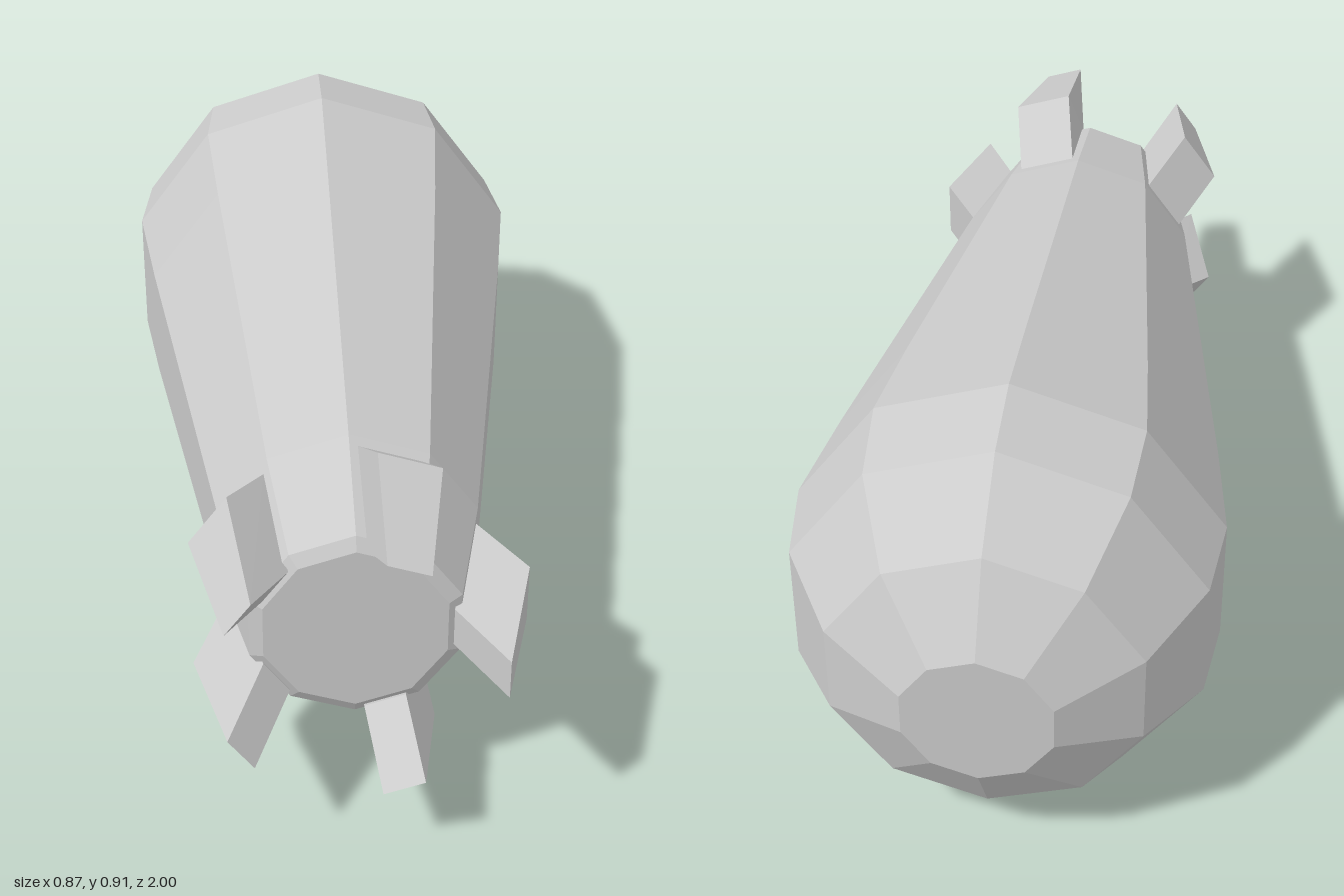
import * as THREE from 'three';

const AXIS_Y = 0.459; // height of the hull's long axis

// Tapered fin: a box whose corners are moved to a slanted radial profile
function makeFinGeometry() {
  // [radius, z, half width], keyed by the signs of the box corner in x and z
  const corners = {
    '-1,-1': [0.255, 0.6, 0.065],
    '1,-1': [0.345, 0.745, 0.065],
    '1,1': [0.28, 1, 0.043],
    '-1,1': [0.19, 0.84, 0.043],
  };
  const geometry = new THREE.BoxGeometry(2, 2, 2);
  const pos = geometry.attributes.position;
  for (let i = 0; i < pos.count; i++) {
    const key = `${Math.sign(pos.getX(i))},${Math.sign(pos.getZ(i))}`;
    const [r, z, w] = corners[key];
    pos.setXYZ(i, r, Math.sign(pos.getY(i)) * w, z);
  }
  geometry.computeVertexNormals();
  return geometry;
}

export function createModel() {
  const group = new THREE.Group();
  const material = new THREE.MeshStandardMaterial({ color: 0xcccccc, flatShading: true });

  // Ten-sided hull: rounded nose at -z, tapering to a flat tail at +z
  const profile = [
    [0, -1], [0.155, -1], [0.325, -0.9], [0.435, -0.725], [0.457, -0.545],
    [0.421, -0.3], [0.274, 0.575], [0.216, 0.825], [0.188, 0.84], [0, 0.84],
  ].map(([r, z]) => new THREE.Vector2(r, z));
  const hullGeometry = new THREE.LatheGeometry(profile, 10);
  hullGeometry.rotateX(Math.PI / 2);
  const hull = new THREE.Mesh(hullGeometry, material);
  hull.name = 'hull';
  hull.position.y = AXIS_Y;
  group.add(hull);

  // Five tail fins around the axis
  const finGeometry = makeFinGeometry();
  const fins = new THREE.Group();
  fins.name = 'tailFins';
  fins.position.y = AXIS_Y;
  for (let i = 0; i < 5; i++) {
    const fin = new THREE.Mesh(finGeometry, material);
    fin.name = `tailFin${i + 1}`;
    fin.rotation.z = (i * Math.PI * 2) / 5;
    fins.add(fin);
  }
  group.add(fins);

  return group;
}
